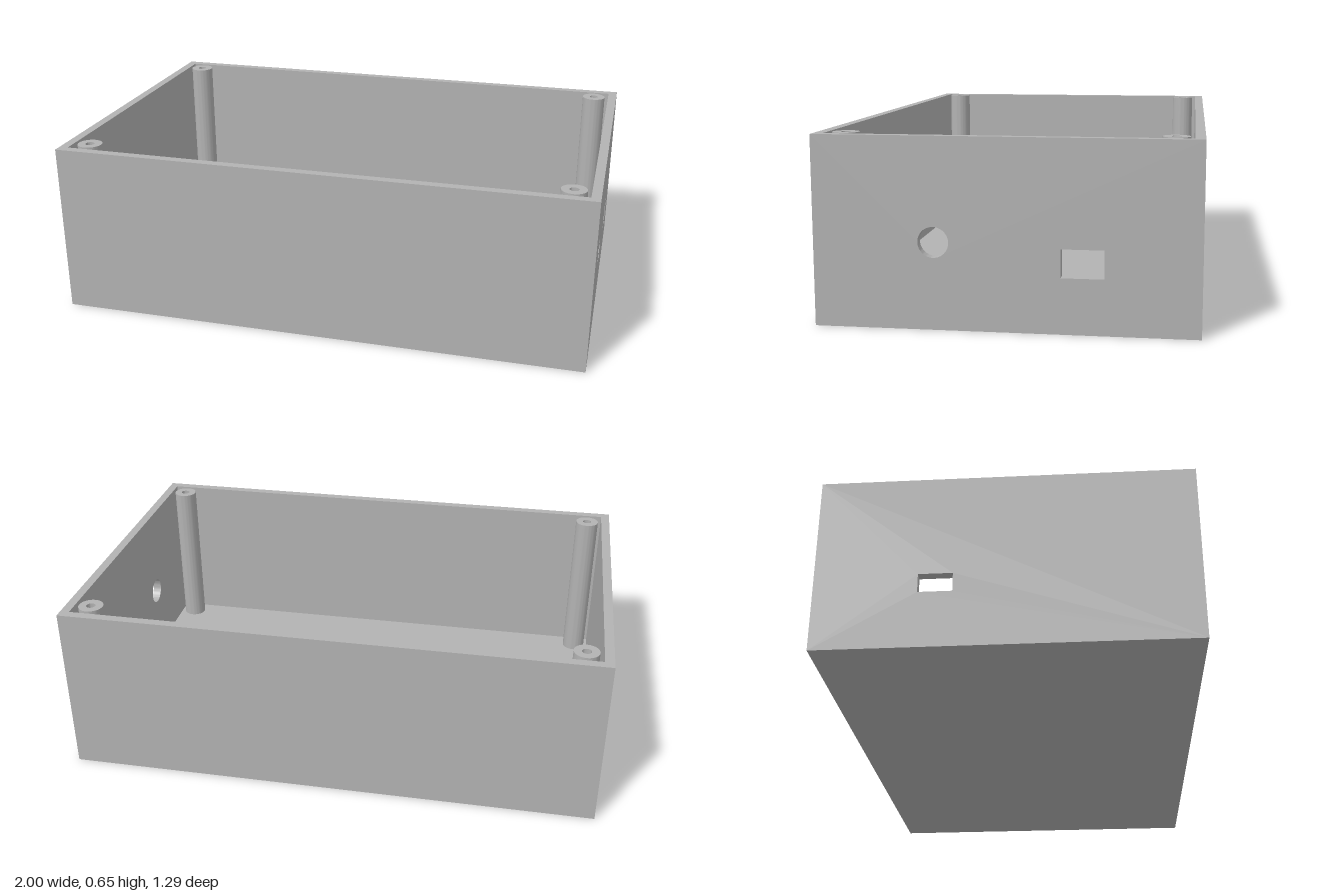
import * as THREE from 'three';
import { toCreasedNormals } from 'three/addons/utils/BufferGeometryUtils.js';

const W = 2, D = 1.294, H = 0.65, T = 0.034; // outer size and wall thickness

function rectPath(target, x0, y0, x1, y1) {
  target.moveTo(x0, y0);
  target.lineTo(x1, y0);
  target.lineTo(x1, y1);
  target.lineTo(x0, y1);
  target.closePath();
  return target;
}

function circlePath(target, x, y, r) {
  target.absarc(x, y, r, 0, Math.PI * 2, false);
  return target;
}

function extrude(shape, depth) {
  const geometry = new THREE.ExtrudeGeometry(shape, { depth, bevelEnabled: false, curveSegments: 24 });
  return toCreasedNormals(geometry, 0.6);
}

export function createModel() {
  const group = new THREE.Group();
  const plastic = new THREE.MeshStandardMaterial({ color: 0xb2b2b2 });
  plastic.name = 'grey plastic';

  function add(name, geometry, x, y, z) {
    const mesh = new THREE.Mesh(geometry, plastic);
    mesh.name = name;
    mesh.position.set(x, y, z);
    group.add(mesh);
  }

  // Floor, front and back walls, fitted between the side walls
  const innerW = W - 2 * T;
  add('floor', new THREE.BoxGeometry(innerW, T, D - 2 * T), 0, T / 2, 0);
  for (const s of [1, -1]) {
    add(s > 0 ? 'frontWall' : 'backWall', new THREE.BoxGeometry(innerW, H, T), 0, H / 2, s * (D - T) / 2);
  }

  // Side walls with port openings; the shape's horizontal axis is -z
  function sideWall(name, x, holes) {
    const shape = rectPath(new THREE.Shape(), -D / 2, 0, D / 2, H);
    shape.holes.push(...holes);
    add(name, extrude(shape, T).rotateY(Math.PI / 2), x, 0, 0);
  }
  sideWall('leftWall', W / 2 - T, [
    circlePath(new THREE.Path(), -0.237, 0.297, 0.052),
    rectPath(new THREE.Path(), 0.187, 0.19, 0.33, 0.286),
  ]);
  sideWall('rightWall', -W / 2, [
    rectPath(new THREE.Path(), 0.178, 0.204, 0.295, 0.272),
  ]);

  // Hollow screw posts in the corners
  const ring = circlePath(new THREE.Shape(), 0, 0, 0.046);
  ring.holes.push(circlePath(new THREE.Path(), 0, 0, 0.017));
  const post = extrude(ring, H - T).rotateX(-Math.PI / 2);
  for (const sx of [1, -1]) {
    for (const sz of [1, -1]) {
      add('screwPost', post, sx * 0.906, T, sz * 0.553);
    }
  }
  return group;
}
